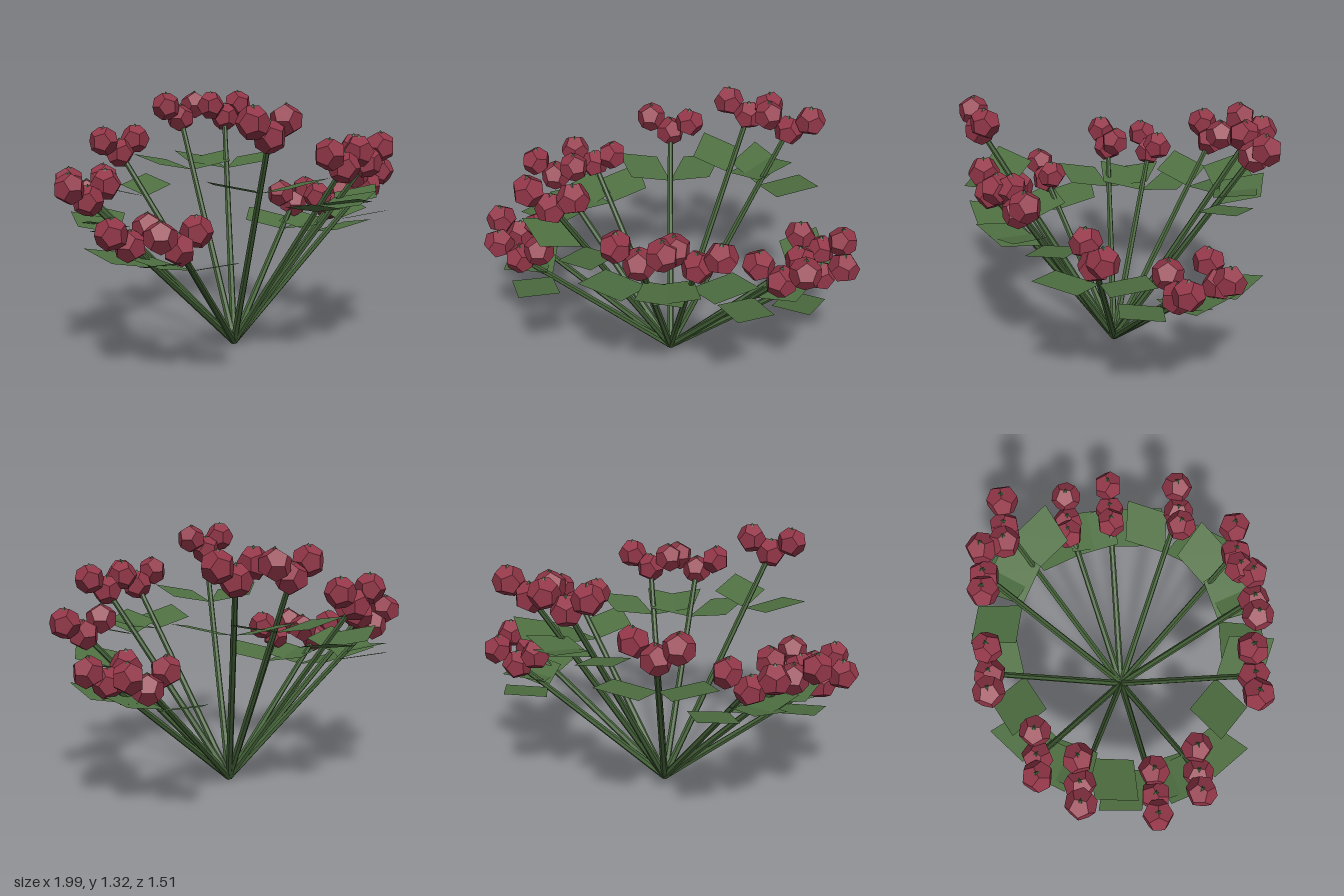
import * as THREE from 'three';

const mat = (color, extra = {}) => new THREE.MeshStandardMaterial({ color, flatShading: true, ...extra });

export function createModel() {
  const group = new THREE.Group();
  group.name = 'berryPlant';
  const stemMat = mat(0x456339);
  const leafMat = mat(0x4f7042, { side: THREE.DoubleSide });
  const berryMat = mat(0x923648);
  const capMat = mat(0x42603a);

  // Stem tips (x, z); heights cycle through four tiers
  const tips = [
    [0.80, 0], [-0.61, -0.46], [0.07, 0.67], [0.48, -0.54], [-0.81, 0.11],
    [0.67, 0.36], [-0.22, -0.66], [-0.385, 0.595], [0.75, -0.235], [-0.76, -0.26],
    [0.33, 0.61], [0.23, -0.65], [-0.71, 0.335],
  ];
  const tiers = [0.65, 0.82, 0.99, 1.16];

  // Diamond leaf growing along +z from its base
  const leafGeo = new THREE.BufferGeometry();
  leafGeo.setAttribute('position', new THREE.Float32BufferAttribute(
    [0, 0, 0, 0.14, 0, 0.175, 0, 0, 0.35, -0.14, 0, 0.175], 3));
  leafGeo.setIndex([0, 1, 3, 1, 2, 3]);
  leafGeo.computeVertexNormals();

  const berryGeo = new THREE.DodecahedronGeometry(0.081);
  const capGeo = new THREE.ConeGeometry(0.028, 0.03, 5);
  const up = new THREE.Vector3(0, 1, 0);

  const add = (parent, name, geo, material) => {
    const mesh = new THREE.Mesh(geo, material);
    mesh.name = name;
    parent.add(mesh);
    return mesh;
  };

  tips.forEach(([x, z], i) => {
    const branch = new THREE.Group();
    branch.name = 'branch';
    group.add(branch);
    const tip = new THREE.Vector3(x, tiers[i % 4], z);

    // Straight tapered stem from the common root
    const stem = add(branch, 'stem', new THREE.CylinderGeometry(0.014, 0.019, tip.length(), 6), stemMat);
    stem.position.copy(tip).multiplyScalar(0.5).setY(tip.y / 2 + 0.005);
    stem.quaternion.setFromUnitVectors(up, tip.clone().normalize());

    // Pair of leaves spread either side of the outward direction
    const leafY = 0.7 * tip.y + 0.065;
    for (const side of [-1, 1]) {
      const leaf = add(branch, 'leaf', leafGeo, leafMat);
      leaf.position.copy(tip).multiplyScalar(leafY / tip.y);
      leaf.rotation.set(-0.25, Math.atan2(x, z) + side * Math.PI / 3, 0, 'YXZ');
    }

    // Three berries with small caps, the middle one lowest
    for (const k of [-1, 0, 1]) {
      const berry = new THREE.Group();
      berry.name = 'berry';
      berry.position.set(x + k * 0.112, tip.y + Math.abs(k) * 0.07, z);
      berry.rotation.y = i * 0.9 + k * 0.5;
      branch.add(berry);
      add(berry, 'fruit', berryGeo, berryMat);
      add(berry, 'cap', capGeo, capMat).position.y = 0.069;
    }
  });
  return group;
}
